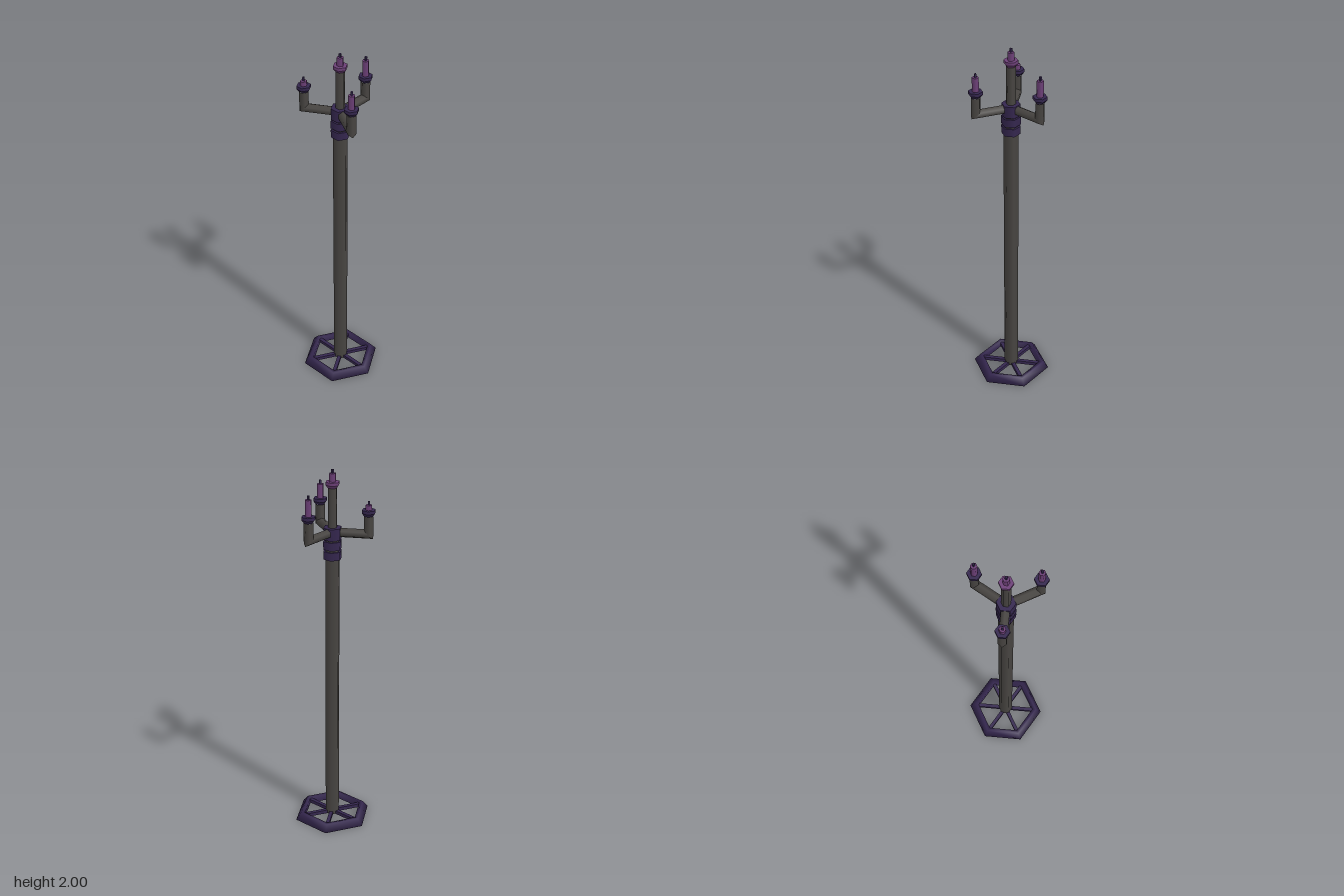
import * as THREE from 'three';

const iron = new THREE.MeshStandardMaterial({ color: 0x484542 });
iron.name = 'grey iron';
const violet = new THREE.MeshStandardMaterial({ color: 0x35274f });
violet.name = 'dark violet';
const wax = new THREE.MeshStandardMaterial({ color: 0x6d4078 });
wax.name = 'purple wax';

const CORNER_X = Math.PI / 6; // puts hexagon corners on the x axis

function add(parent, name, geometry, material) {
  const mesh = new THREE.Mesh(geometry, material);
  mesh.name = name;
  parent.add(mesh);
  return mesh;
}

// Six-sided prism or frustum between two heights
function hex(rBottom, rTop, y0, y1, start = CORNER_X) {
  return new THREE.CylinderGeometry(rTop, rBottom, y1 - y0, 6, 1, false, start)
    .translate(0, (y0 + y1) / 2, 0);
}

// Drip cup, candle and wick
function addCandle(parent, cupMaterial, cupBottom, cupTop, candleTop, wickTop, start) {
  const mid = cupBottom + (cupTop - cupBottom) * 0.5;
  add(parent, 'cupBowl', hex(0.024, 0.037, cupBottom, mid, start), cupMaterial);
  add(parent, 'cupRim', hex(0.037, 0.037, mid, cupTop, start), cupMaterial);
  add(parent, 'candle', hex(0.0175, 0.0175, cupTop, candleTop, start), wax);
  const wick = new THREE.BoxGeometry(0.01, wickTop - candleTop, 0.01);
  add(parent, 'wick', wick.translate(0, (wickTop + candleTop) / 2, 0), violet);
}

// Moves the vertices of one end of a tube onto the mitre plane
function mitre(geometry, rule) {
  const p = geometry.attributes.position;
  for (let i = 0; i < p.count; i++) rule(p, i);
  return geometry;
}

function makeArm(angle, candleTop, wickTop) {
  const arm = new THREE.Group();
  arm.name = 'arm';
  arm.rotation.y = angle;
  const reach = 0.185, level = 1.672, r = 0.0245, cupBottom = 1.767;

  // Horizontal tube, outer end cut at 45 degrees
  const bar = new THREE.CylinderGeometry(r, r, reach, 6, 1, true, CORNER_X)
    .rotateZ(-Math.PI / 2).translate(reach / 2, 0, 0);
  mitre(bar, (p, i) => {
    if (p.getX(i) > reach / 2) p.setX(i, reach - p.getY(i));
  });
  add(arm, 'armBar', bar.translate(0, level, 0), iron);

  // Upright tube, lower end cut to match
  const height = cupBottom - level;
  const post = new THREE.CylinderGeometry(r, r, height, 6, 1, true, CORNER_X)
    .translate(0, height / 2, 0);
  mitre(post, (p, i) => {
    if (p.getY(i) < height / 2) p.setY(i, -p.getX(i));
  });
  add(arm, 'armPost', post.translate(reach, level, 0), iron);

  const holder = new THREE.Group();
  holder.name = 'candleHolder';
  holder.position.x = reach;
  addCandle(holder, violet, cupBottom, 1.8, candleTop, wickTop, 0);
  arm.add(holder);
  return arm;
}

export function createModel() {
  const model = new THREE.Group();
  model.name = 'candelabrum';
  const stand = new THREE.Group();
  stand.name = 'stand';
  stand.position.z = 0.0145;
  model.add(stand);

  // Bevelled hexagonal base ring
  const profile = [[0.164, 0], [0.215, 0], [0.185, 0.037], [0.164, 0.037], [0.164, 0]]
    .map(([x, y]) => new THREE.Vector2(x, y));
  add(stand, 'baseRing', new THREE.LatheGeometry(profile, 6, CORNER_X), violet);

  // Spokes running corner to corner
  for (let i = 0; i < 3; i++) {
    const spoke = add(stand, 'baseSpoke', new THREE.BoxGeometry(0.33, 0.02, 0.02), violet);
    spoke.position.y = 0.02;
    spoke.rotation.y = i * Math.PI / 3;
  }

  // Main pole and upper stem
  add(stand, 'pole', hex(0.039, 0.039, 0.012, 1.69), iron);
  add(stand, 'stem', hex(0.0245, 0.0245, 1.68, 1.906), iron);

  // Collars below the arms
  for (const [y0, y1, r] of [[1.53, 1.573, 0.05], [1.583, 1.627, 0.05], [1.635, 1.698, 0.049]]) {
    add(stand, 'collar', hex(r, r, y0, y1), violet);
  }

  // Three arms with candles burnt to different heights
  stand.add(makeArm(-Math.PI / 6, 1.875, 1.895));
  stand.add(makeArm(-5 * Math.PI / 6, 1.825, 1.845));
  stand.add(makeArm(Math.PI / 2, 1.885, 1.906));

  // Centre candle
  const centre = new THREE.Group();
  centre.name = 'centreCandle';
  addCandle(centre, wax, 1.904, 1.937, 1.98, 2, CORNER_X);
  stand.add(centre);
  return model;
}
